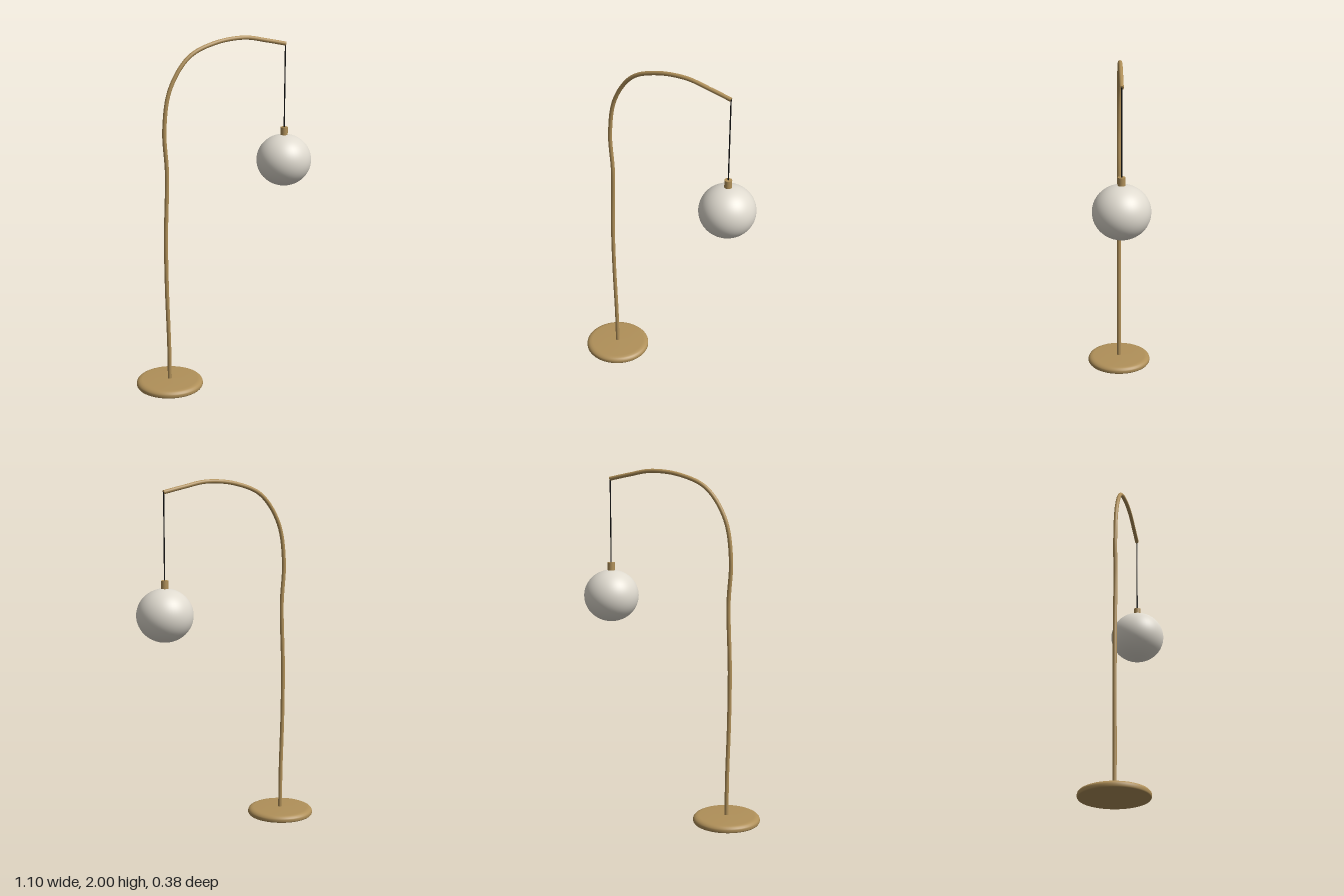
import * as THREE from 'three';

const material = (name, color) => {
  const m = new THREE.MeshStandardMaterial({ color });
  m.name = name;
  return m;
};

export function createModel() {
  const group = new THREE.Group();
  const brass = material('brass', 0xb09059);
  const glass = material('opalGlass', 0xdfdacf);
  const black = material('blackCord', 0x111111);
  const add = (name, geometry, mat, x = 0, y = 0) => {
    const mesh = new THREE.Mesh(geometry, mat);
    mesh.name = name;
    mesh.position.set(x, y, 0);
    group.add(mesh);
    return mesh;
  };
  const poleX = -0.362, lampX = 0.39;

  // Round foot: flat underside, rounded shoulder, slightly domed top
  const profile = [
    [0, 0.003], [0.188, 0.003], [0.192, 0.006], [0.192, 0.018], [0.19, 0.024],
    [0.184, 0.031], [0.174, 0.036], [0.16, 0.038], [0.08, 0.04], [0, 0.041],
  ].map(([r, y]) => new THREE.Vector2(r, y));
  profile[0].y = profile[1].y = 0;
  add('base', new THREE.LatheGeometry(profile, 64), brass, poleX);

  // Gently wavering pole that bends over into the arm
  const path = new THREE.CatmullRomCurve3([
    [-0.362, 0.02], [-0.363, 0.25], [-0.372, 0.6], [-0.373, 0.9], [-0.361, 1.27],
    [-0.373, 1.52], [-0.335, 1.74], [-0.22, 1.905], [-0.06, 1.971],
    [0.125, 1.988], [0.27, 1.962], [0.39, 1.936],
  ].map(([x, y]) => new THREE.Vector3(x, y, 0)));
  const radius = 0.0115;
  add('arm', new THREE.TubeGeometry(path, 120, radius, 16), brass);

  // Closed end of the arm
  const cap = add('armEnd', new THREE.CircleGeometry(radius, 16), brass, lampX, 1.936);
  cap.quaternion.setFromUnitVectors(new THREE.Vector3(0, 0, 1), path.getTangent(1));

  // Hanging cord, socket and globe
  add('cord', new THREE.CylinderGeometry(0.0035, 0.0035, 0.5, 12), black, lampX, 1.688);
  add('socket', new THREE.CylinderGeometry(0.021, 0.021, 0.06, 24), brass, lampX, 1.425);
  const globe = add('globeShade', new THREE.SphereGeometry(0.159, 48, 32), glass, lampX, 1.261);
  globe.scale.y = 0.945;

  return group;
}
